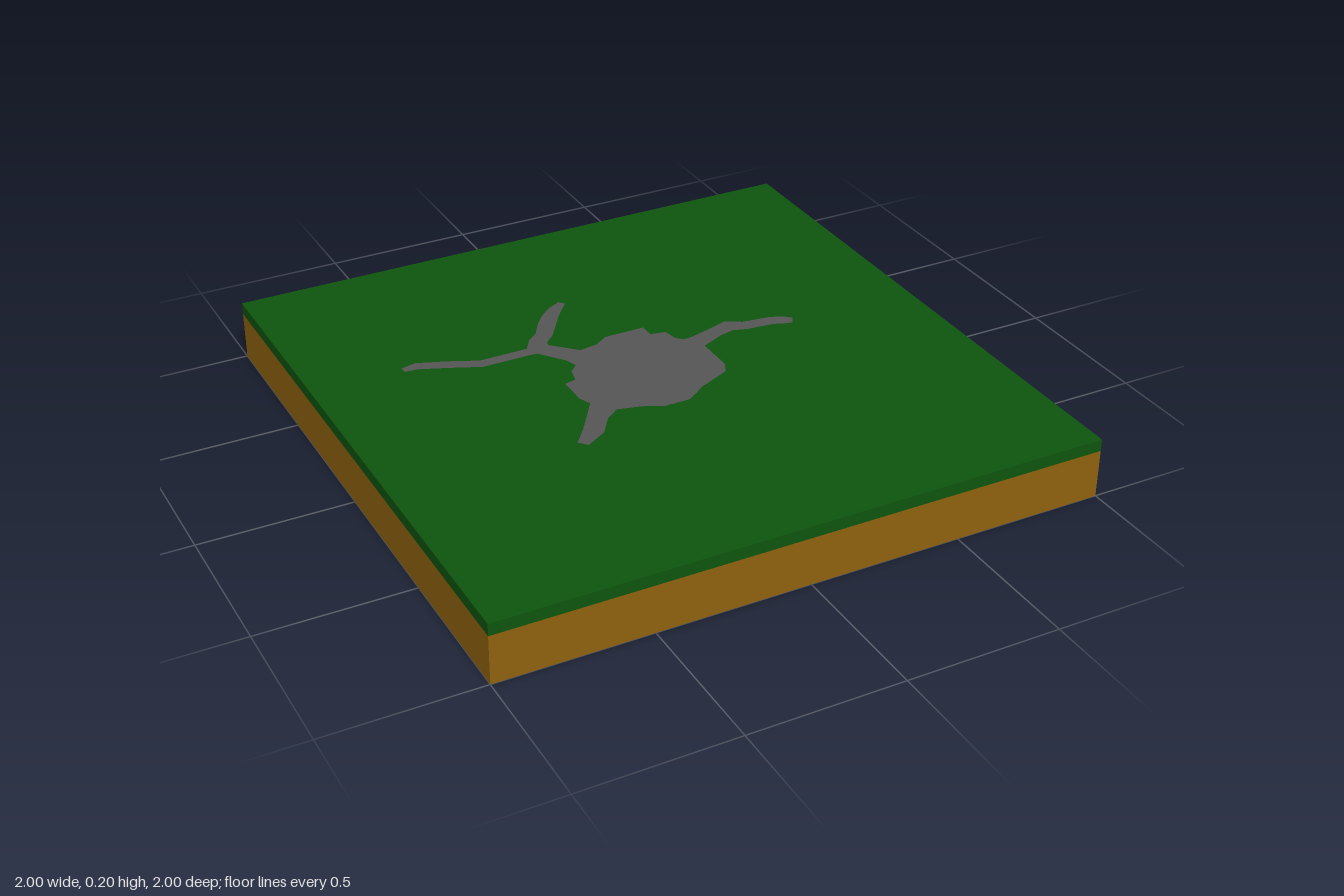
import * as THREE from 'three';

export function createModel() {
  const model = new THREE.Group();
  model.name = 'groundTile';

  const material = (name, color) => {
    const m = new THREE.MeshStandardMaterial({ color });
    m.name = name;
    return m;
  };
  const soil = material('soil brown', 0x8f620e);
  const grass = material('grass green', 0x0e540e);
  const stone = material('stone grey', 0x555555);

  const add = (name, geometry, mat) => {
    const mesh = new THREE.Mesh(geometry, mat);
    mesh.name = name;
    model.add(mesh);
    return mesh;
  };

  // Square slab: thick soil below, thin grass layer above
  add('soilBase', new THREE.BoxGeometry(2, 0.16, 2), soil).position.y = 0.08;
  add('grassLayer', new THREE.BoxGeometry(2, 0.04, 2), grass).position.y = 0.18;

  // Flat patch lying just above the grass, outlined by [x, z] points
  const patch = (name, outline) => {
    const shape = new THREE.Shape(outline.map(([x, z]) => new THREE.Vector2(x, -z)));
    const geometry = new THREE.ShapeGeometry(shape).rotateX(-Math.PI / 2);
    add(name, geometry, stone).position.y = 0.202;
  };

  // Flat winding strip along a centre line of [x, z, half width]
  const strip = (name, line) => {
    const left = [], right = [];
    line.forEach(([x, z, w], i) => {
      const a = line[Math.max(i - 1, 0)], b = line[Math.min(i + 1, line.length - 1)];
      const dx = b[0] - a[0], dz = b[1] - a[1], k = w / Math.hypot(dx, dz);
      left.push([x - dz * k, z + dx * k]);
      right.unshift([x + dz * k, z - dx * k]);
    });
    patch(name, [...left, ...right]);
  };

  // Central blotch
  patch('centralPatch', [
    [-0.04, -0.24], [0.1, -0.24], [0.1, -0.19], [0.15, -0.18], [0.16, -0.13], [0.19, -0.1],
    [0.22, -0.09], [0.22, 0.09], [0.2, 0.13], [0.09, 0.18], [0.02, 0.23], [-0.07, 0.23],
    [-0.13, 0.2], [-0.21, 0.18], [-0.26, 0.12], [-0.28, 0.07], [-0.28, -0.03], [-0.24, -0.04],
    [-0.23, -0.09], [-0.2, -0.12], [-0.21, -0.17], [-0.14, -0.2], [-0.08, -0.21],
  ]);

  // Creeping arms
  strip('leftArm', [
    [0.18, -0.07, 0.04], [0.22, -0.08, 0.034], [0.29, -0.105, 0.028], [0.35, -0.122, 0.032],
    [0.4, -0.1, 0.025], [0.49, -0.09, 0.024], [0.53, -0.075, 0.024], [0.555, -0.06, 0.016],
  ]);
  strip('frontArm', [
    [-0.21, 0.12, 0.05], [-0.28, 0.195, 0.033], [-0.325, 0.26, 0.033], [-0.385, 0.312, 0.018],
  ]);
  strip('backTrunk', [
    [-0.16, -0.15, 0.05], [-0.185, -0.185, 0.038], [-0.25, -0.26, 0.032], [-0.265, -0.29, 0.032],
  ]);
  strip('rightBranch', [
    [-0.23, -0.262, 0.025], [-0.3, -0.265, 0.021], [-0.46, -0.265, 0.021],
    [-0.56, -0.31, 0.021], [-0.65, -0.345, 0.02], [-0.695, -0.34, 0.012],
  ]);
  strip('backBranch', [
    [-0.265, -0.265, 0.035], [-0.24, -0.315, 0.03], [-0.205, -0.345, 0.028],
    [-0.167, -0.404, 0.03], [-0.135, -0.447, 0.027], [-0.1, -0.483, 0.022], [-0.062, -0.513, 0.012],
  ]);

  return model;
}
